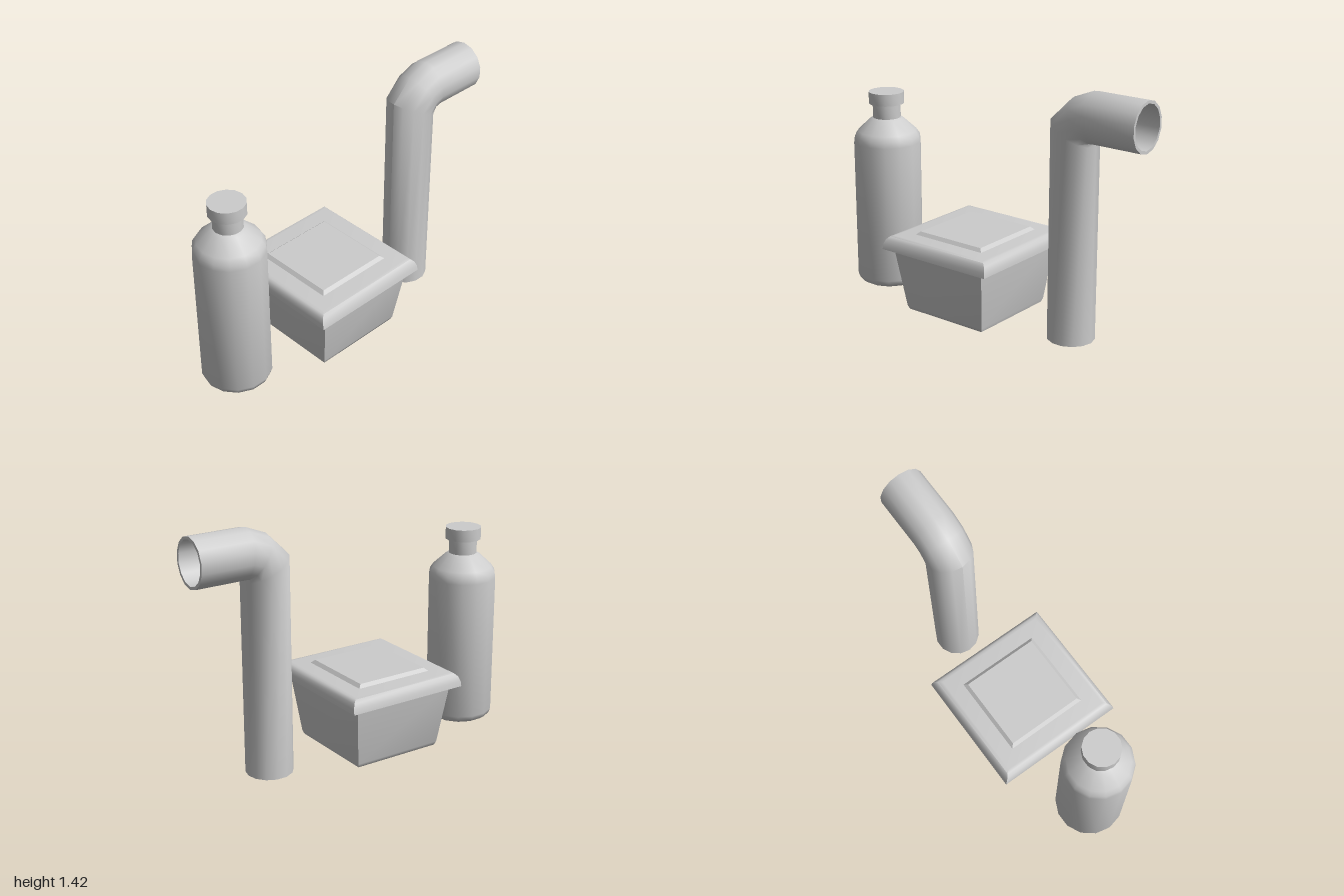
import * as THREE from 'three';
import { toCreasedNormals } from 'three/addons/utils/BufferGeometryUtils.js';

const SIDES = 14;

// Skin a list of equal-length rings; optionally close both ends with flat caps.
function loft(rings, caps, crease) {
  const n = rings[0].length;
  const pos = rings.flat().flatMap((p) => p.toArray());
  const index = [];
  for (let i = 0; i < rings.length - 1; i++) {
    for (let j = 0; j < n; j++) {
      const a = i * n + j, b = i * n + (j + 1) % n;
      index.push(a, b, b + n, a, b + n, a + n);
    }
  }
  if (caps) {
    const top = (rings.length - 1) * n;
    for (let j = 1; j < n - 1; j++) {
      index.push(0, j + 1, j, top, top + j, top + j + 1);
    }
  }
  const geo = new THREE.BufferGeometry();
  geo.setAttribute('position', new THREE.Float32BufferAttribute(pos, 3));
  geo.setIndex(index);
  return toCreasedNormals(geo.toNonIndexed(), crease);
}

// Stack of rectangles [halfX, halfZ, y]
function rectStack(levels, crease) {
  const rings = levels.map(([x, z, y]) => [[x, z], [x, -z], [-x, -z], [-x, z]]
    .map(([px, pz]) => new THREE.Vector3(px, y, pz)));
  return loft(rings, true, crease);
}

function lathe(points) {
  const geo = new THREE.LatheGeometry(
    points.map(([x, y]) => new THREE.Vector2(x, y)), SIDES, Math.PI / 2);
  return toCreasedNormals(geo, 0.75);
}

// Elliptical pipe ring spanning an inner-bend and an outer-bend point
function pipeRing([ix, iy, ox, oy], scale) {
  const c = new THREE.Vector3((ix + ox) / 2, (iy + oy) / 2, 0);
  const h = new THREE.Vector3((ix - ox) / 2, (iy - oy) / 2, 0);
  return Array.from({ length: SIDES }, (_, k) => {
    const a = (k / SIDES) * Math.PI * 2;
    const p = c.clone().addScaledVector(h, Math.cos(a) * scale);
    p.z = -0.135 * Math.sin(a) * scale;
    return p;
  });
}

export function createModel() {
  const model = new THREE.Group();
  const grey = new THREE.MeshStandardMaterial({ color: 0xcccccc });
  grey.name = 'plain grey';

  const add = (parent, name, geo) => {
    const mesh = new THREE.Mesh(geo, grey);
    mesh.name = name;
    parent.add(mesh);
  };
  const group = (name, x) => {
    const g = new THREE.Group();
    g.name = name;
    g.position.x = x;
    model.add(g);
    return g;
  };

  // Bottle with rounded shoulder, neck and cap
  const bottle = group('bottle', -0.8);
  add(bottle, 'bottleBody', lathe([
    [0, 0.025], [0.165, 0.025], [0.19, 0.042], [0.2, 0.07], [0.2, 0.9],
    [0.195, 0.935], [0.175, 0.965], [0.1, 1.035], [0.083, 1.045],
    [0.083, 1.13]]));
  add(bottle, 'bottleCap', lathe([
    [0, 1.13], [0.105, 1.13], [0.105, 1.2], [0, 1.2]]));

  // Tapered food tub with overhanging lid
  const tub = group('tub', -0.125);
  add(tub, 'tubBody', rectStack([
    [0.245, 0.255, 0], [0.268, 0.28, 0.012], [0.276, 0.29, 0.035],
    [0.32, 0.345, 0.395]], 0.75));
  add(tub, 'tubLid', rectStack([
    [0.372, 0.387, 0.39], [0.37, 0.382, 0.42], [0.36, 0.37, 0.447],
    [0.342, 0.355, 0.465], [0.325, 0.335, 0.468]], 0.85));
  add(tub, 'lidPanel', rectStack([
    [0.243, 0.25, 0.465], [0.22, 0.228, 0.486]], 0.3));

  // Hollow elbow pipe: outer wall, then back along the inner wall
  const path = [
    [0.69, 0, 0.42, 0], [0.69, 1.12, 0.423, 1.25], [0.69, 1.137, 0.545, 1.37],
    [0.705, 1.137, 0.67, 1.42], [1, 1.137, 1, 1.42]];
  const outer = path.map((p) => pipeRing(p, 1));
  const inner = path.map((p) => pipeRing(p, 0.88)).reverse();
  add(model, 'elbowPipe', loft([...outer, ...inner, outer[0]], false, 0.9));

  return model;
}
